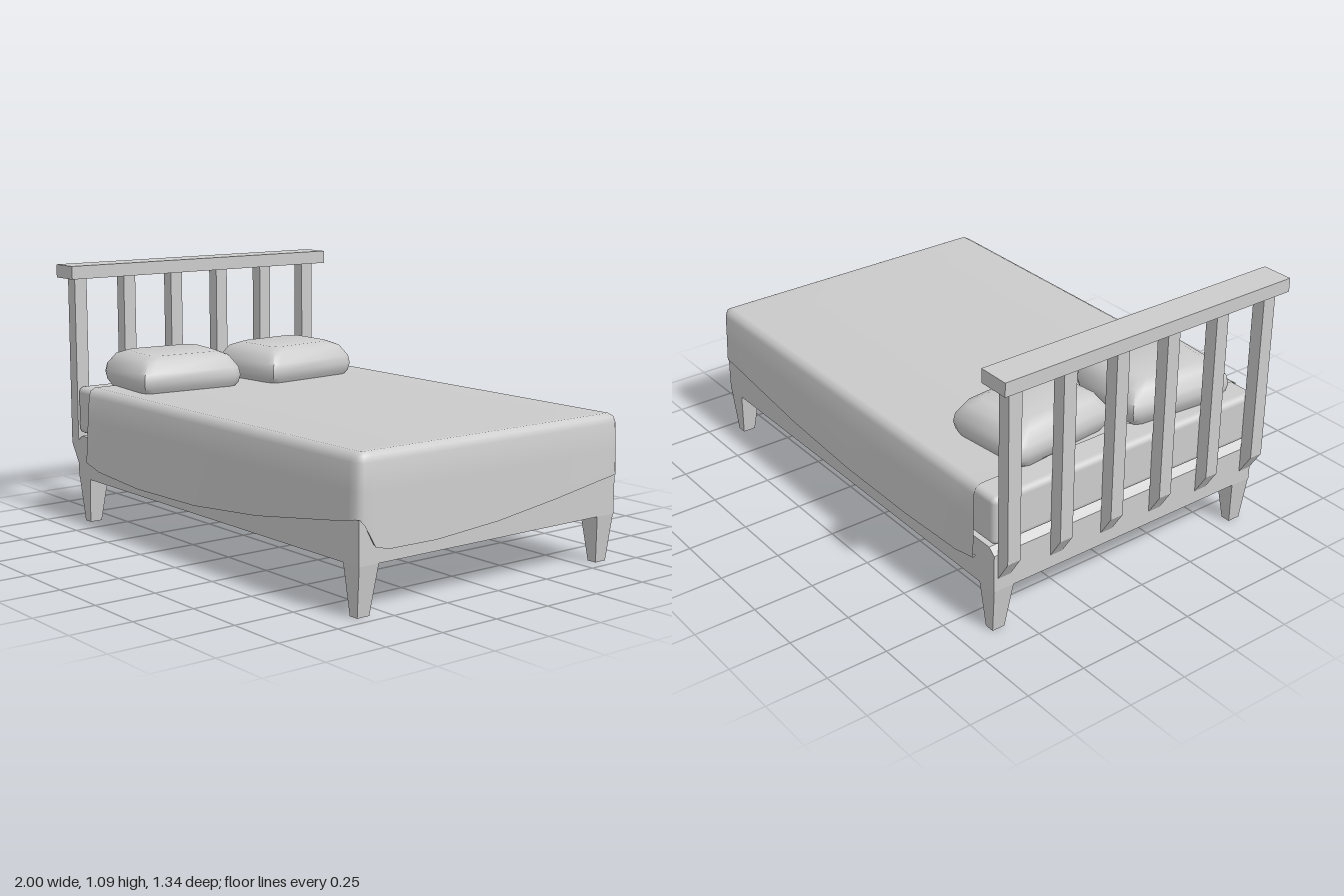
import * as THREE from 'three';
import { toCreasedNormals } from 'three/addons/utils/BufferGeometryUtils.js';
import { RoundedBoxGeometry } from 'three/addons/geometries/RoundedBoxGeometry.js';

// Skin rows of equal length from bottom to top, then close the last row with a flat cap
function loft(rows, closed, crease) {
  const n = rows[0].length, index = [];
  const quad = (a, b, c, d) => index.push(a, b, c, a, c, d);
  for (let r = 0; r < rows.length - 1; r++) {
    for (let i = 0; i < (closed ? n : n - 1); i++) {
      const j = (i + 1) % n;
      quad(r * n + i, r * n + j, (r + 1) * n + j, (r + 1) * n + i);
    }
  }
  const top = (rows.length - 1) * n;
  for (let i = 0; i < n / 2 - 1; i++) quad(top + i, top + i + 1, top + n - 2 - i, top + n - 1 - i);
  const g = new THREE.BufferGeometry();
  g.setAttribute('position', new THREE.Float32BufferAttribute(rows.flat(2), 3));
  g.setIndex(index);
  g.computeVertexNormals();
  return toCreasedNormals(g, crease);
}

// Blanket draped over both long sides and the foot, with a wavy hem
function blanketGeometry() {
  const xs = [-0.8, -0.7, -0.4, 0, 0.4, 0.8, 0.93];
  const frontHem = [0.27, 0.245, 0.225, 0.23, 0.265, 0.325, 0.345];
  const frontFlare = [0.02, 0.02, 0.018, 0.014, 0.01, 0.006, 0.005];
  const backHem = [0.285, 0.27, 0.27, 0.28, 0.3, 0.335, 0.345];
  const backFlare = [0.004, 0.01, 0.02, 0.025, 0.02, 0.01, 0.006];
  const zs = [0.58, 0.52, 0.3, 0, -0.3, -0.52, -0.58];
  const footHem = [0.255, 0.24, 0.238, 0.26, 0.3, 0.335, 0.344];
  const W = 0.645, L = 0.985, R = 0.035;
  const path = []; // x, z, outward x, outward z, hem height, flare
  const corner = (s, hems) => [20, 45, 70].forEach((deg, k) => {
    const a = (s > 0 ? 90 - deg : deg) * Math.PI / 180;
    const c = Math.cos(a), d = s * Math.sin(a);
    path.push([L - R + R * c, s * (W - R) + R * d, c, d, hems[k], 0.006]);
  });
  xs.forEach((x, i) => path.push([x, W, 0, 1, frontHem[i], frontFlare[i]]));
  corner(1, [0.355, 0.355, 0.335]);
  zs.forEach((z, i) => path.push([L, z, 1, 0, footHem[i], 0.01]));
  corner(-1, [0.342, 0.345, 0.348].reverse());
  // back corner runs from the foot round to the far side
  const tail = path.splice(-3);
  tail.sort((p, q) => q[0] - p[0]);
  path.push(...tail);
  for (let i = xs.length - 1; i >= 0; i--) path.push([xs[i], -W, 0, -1, backHem[i], backFlare[i]]);

  const row = f => path.map(([x, z, nx, nz, hem, flare]) => {
    const [out, y] = f(hem, flare);
    return [x + nx * out, y, z + nz * out];
  });
  return loft([
    row((h, f) => [f - 0.012, h + 0.006]),
    row((h, f) => [f, h]),
    row((h, f) => [f * 0.9, h + 0.03]),
    row((h, f) => [f * 0.4, 0.45]),
    row(() => [0, 0.55]),
    row(() => [-0.008, 0.574]),
    row(() => [-0.03, 0.586]),
  ], false, 0.9);
}

// Plump pillow from stacked rounded rectangles
function pillowGeometry(w, d) {
  const profile = [[0.03, -0.02], [0.006, 0.02], [0, 0.05], [0.006, 0.085], [0.035, 0.13], [0.075, 0.148]];
  const ring = ([inset, y]) => {
    const pts = [], r = 0.04;
    for (let k = 0; k < 4; k++) {
      const mid = (k * 90 - 45) * Math.PI / 180;
      for (const off of [-45, 0, 45]) {
        const a = mid + off * Math.PI / 180;
        pts.push([
          Math.sign(Math.cos(mid)) * (w / 2 - inset - r) + r * Math.cos(a), y,
          -Math.sign(Math.sin(mid)) * (d / 2 - inset - r) - r * Math.sin(a)]);
      }
    }
    return pts;
  };
  return loft(profile.map(ring), true, 0.7);
}

export function createModel() {
  const bed = new THREE.Group();
  bed.name = 'bed';
  const grey = new THREE.MeshStandardMaterial({ color: 0xcccccc, side: THREE.DoubleSide });
  grey.name = 'light grey';
  const add = (name, geometry, x = 0, y = 0, z = 0) => {
    const m = new THREE.Mesh(geometry, grey);
    m.name = name;
    m.position.set(x, y, z);
    bed.add(m);
    return m;
  };
  // Extrude an x-y outline along z, centred
  const slab = (pts, depth) => new THREE.ExtrudeGeometry(
    new THREE.Shape(pts.map(p => new THREE.Vector2(...p))), { depth, bevelEnabled: false }
  ).translate(0, 0, -depth / 2);

  // Base with a chamfered top edge at the head
  add('bedBase', slab([[-0.91, 0.19], [0.975, 0.19], [0.975, 0.37], [-0.88, 0.37], [-0.91, 0.345]], 1.276));

  // Tapered legs
  for (const x of [-0.865, 0.93]) for (const s of [1, -1]) {
    const g = new THREE.BoxGeometry(0.09, 0.2, 0.09);
    const p = g.attributes.position;
    for (let i = 0; i < p.count; i++) {
      if (p.getY(i) < 0) p.setXYZ(i, p.getX(i) * 0.45, -0.1, p.getZ(i) * 0.6 + s * 0.006);
    }
    g.computeVertexNormals();
    add('leg', g, x, 0.1, s * 0.592);
  }

  // Mattress
  add('mattress', new RoundedBoxGeometry(1.88, 0.2, 1.276, 3, 0.025), 0.03, 0.48, 0);

  // Headboard: six slats kinked at the foot, and a top rail
  const slat = slab([[-0.965, 0.33], [-0.905, 0.235], [-0.905, 0.33], [-0.91, 0.36], [-0.91, 1.045], [-0.965, 1.045]], 0.057);
  for (let i = 0; i < 6; i++) add('headboardSlat', slat, 0, 0, 0.608 - i * 0.24);
  add('headboardRail', new THREE.BoxGeometry(0.13, 0.055, 1.335), -0.935, 1.065, 0.003);

  add('blanket', blanketGeometry());

  // Pillows, turned slightly opposite ways
  const pillow = pillowGeometry(0.39, 0.475);
  add('rearPillow', pillow, -0.615, 0.586, -0.238).rotation.set(0, 0.09, -0.02);
  add('frontPillow', pillow, -0.67, 0.586, 0.312).rotation.set(0, -0.09, -0.02);

  return bed;
}
